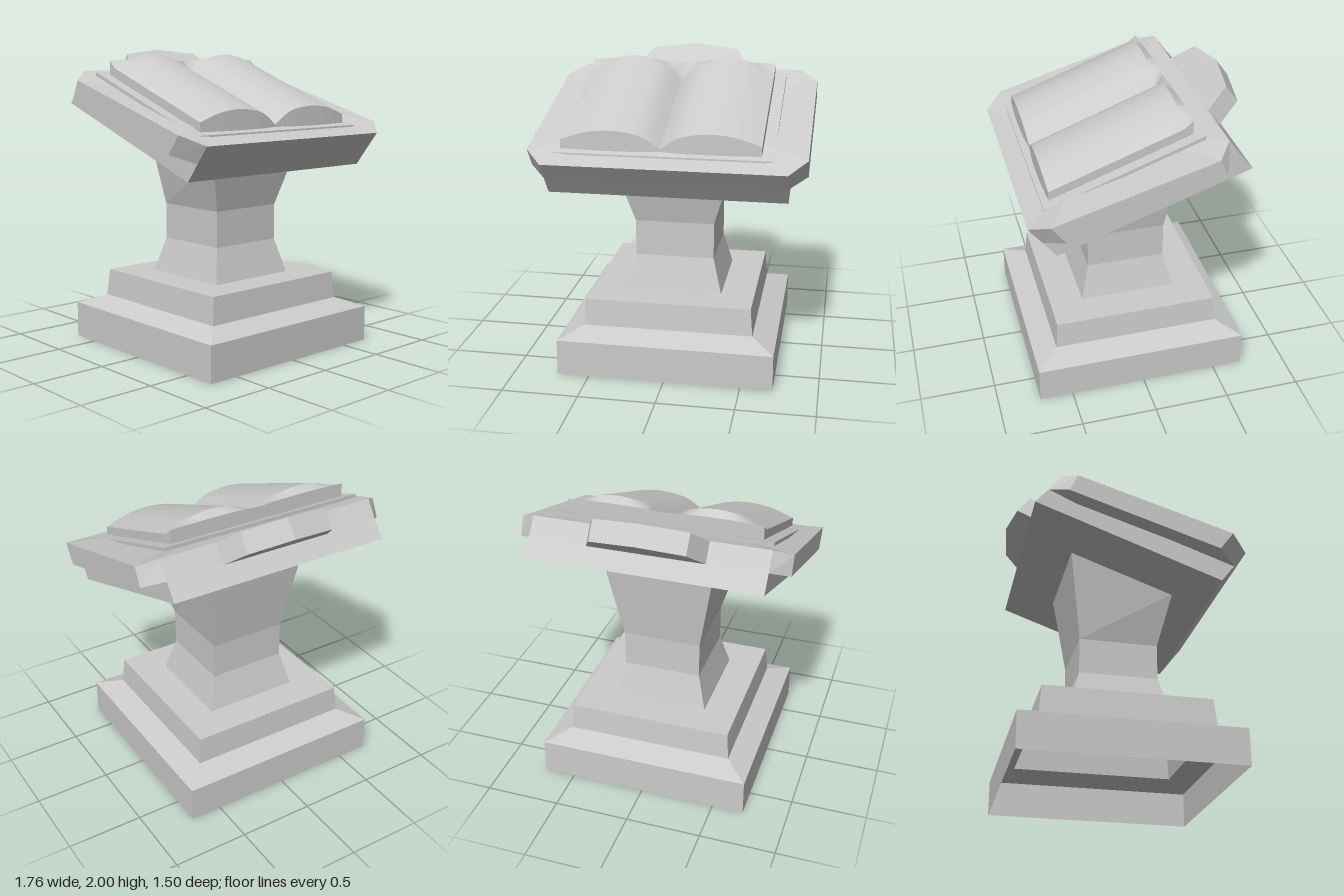
import * as THREE from 'three';
import { toCreasedNormals } from 'three/addons/utils/BufferGeometryUtils.js';

const flat = new THREE.MeshStandardMaterial({ color: 0xcccccc, flatShading: true, side: THREE.DoubleSide });
const smooth = new THREE.MeshStandardMaterial({ color: 0xcccccc, side: THREE.DoubleSide });

// Full ring from its +x half, listed front to back
const mirror = (half) => [...half, ...half.filter((p) => p[0] > 0).reverse().map(([x, y, z]) => [-x, y, z])];

// Four-cornered ring, its front and back edges at their own heights
const rect = (x0, x1, zf, yf, zb, yb = yf) => [[x1, yf, zf], [x1, yb, zb], [x0, yb, zb], [x0, yf, zf]];

// Skin over rings stacked from bottom to top, with optional caps
function loft(rings, capBottom = true, capTop = true) {
  const pos = [];
  const n = rings[0].length;
  const tri = (...pts) => pts.forEach((p) => pos.push(...p));
  for (let k = 0; k < rings.length - 1; k++) {
    for (let i = 0; i < n; i++) {
      const j = (i + 1) % n, lo = rings[k], hi = rings[k + 1];
      tri(lo[i], lo[j], hi[j]);
      tri(lo[i], hi[j], hi[i]);
    }
  }
  const cap = (ring, up) => {
    const c = [0, 1, 2].map((a) => ring.reduce((s, p) => s + p[a], 0) / n);
    ring.forEach((p, i) => {
      const q = ring[(i + 1) % n];
      if (up) tri(c, p, q);
      else tri(c, q, p);
    });
  };
  if (capBottom) cap(rings[0], false);
  if (capTop) cap(rings[rings.length - 1], true);
  const g = new THREE.BufferGeometry();
  g.setAttribute('position', new THREE.Float32BufferAttribute(pos, 3));
  g.computeVertexNormals();
  return g;
}

// Open book: a page cross-section swept up the slope, with walls all round
function pagesGeometry() {
  const section = new THREE.SplineCurve(
    [[0, 0], [0.1, 0.09], [0.19, 0.128], [0.33, 0.145], [0.48, 0.122], [0.635, 0.055]]
      .map(([u, h]) => new THREE.Vector2(u, h)));
  const half = section.getPoints(24);
  const cols = [
    ...half.slice(1).reverse().map((p) => [-p.x, p.y]),
    ...half.map((p) => [p.x, p.y]),
  ];
  const mid = -0.04, zFront = 0.59, zBack = -0.26, zLip = -0.315;
  const base = (z) => 1.49 + (zFront - z) * 0.388;
  const rows = [];
  const addRow = (z, height, bulge = 0) => {
    const row = cols.map(([u, h]) => [mid + u, height(h), z + bulge * (h - 0.1)]);
    const foot = base(z) - 0.01;
    rows.push([[row[0][0], foot, z], ...row, [row[row.length - 1][0], foot, z]]);
  };
  addRow(zFront, () => base(zFront) - 0.01, 0.1);
  const steps = 14;
  for (let i = 0; i <= steps; i++) {
    const t = i / steps, z = zFront + (zBack - zFront) * t;
    const shallow = 0.035 * (1 - t);
    addRow(z, (h) => base(z) + shallow + h * (1 - shallow / 0.145), 0.1 * (1 - t));
  }
  addRow(zLip, (h) => 1.92 + h * 0.08);
  addRow(zLip, () => base(zLip) - 0.01);

  const n = rows[0].length, index = [];
  for (let r = 0; r < rows.length - 1; r++) {
    for (let c = 0; c < n - 1; c++) {
      const a = r * n + c, d = a + n;
      index.push(a, a + 1, d, a + 1, d + 1, d);
    }
  }
  const g = new THREE.BufferGeometry();
  g.setAttribute('position', new THREE.Float32BufferAttribute(rows.flat(2), 3));
  g.setIndex(index);
  return toCreasedNormals(g, 0.7);
}

export function createModel() {
  const model = new THREE.Group();
  const add = (name, geometry, material = flat) => {
    const mesh = new THREE.Mesh(geometry, material);
    mesh.name = name;
    model.add(mesh);
  };

  // Stepped foot and waisted column, hollow and open below
  const zc = 0.011;
  const rings = [[0.71, 0], [0.71, 0.24], [0.56, 0.3], [0.545, 0.48], [0.323, 0.48], [0.263, 0.71], [0.263, 0.95]]
    .map(([h, y]) => rect(-h, h, zc + h, y, zc - h));
  rings.push(rect(-0.372, 0.372, 0.36, 1.3, -0.336, 1.54));
  add('pedestal', loft(rings, false, false));

  // Sloping desk: lower slab
  add('deskSlab', loft([
    rect(-0.765, 0.765, 0.578, 1.215, -0.645, 1.64),
    rect(-0.765, 0.765, 0.665, 1.33, -0.56, 1.745),
  ]));

  // Wider desk top with cut corners
  const top = mirror([[0.765, 1.44, 0.75], [0.88, 1.505, 0.63], [0.88, 1.8, -0.39], [0.765, 1.858, -0.48]]);
  const under = mirror([[0.765, 1.33, 0.665], [0.88, 1.382, 0.54], [0.88, 1.682, -0.445], [0.765, 1.745, -0.56]]);
  add('deskTop', loft([under, top]));

  // Raised crest on the back edge
  const crest = mirror([[0.383, 1.857, -0.48], [0.305, 1.968, -0.622], [0, 2, -0.665]]);
  add('crest', loft([crest.map(([x, y, z]) => [x, y - 0.113, z - 0.082]), crest]));

  // Book lying open on the desk
  add('bookCover', loft([
    rect(-0.75, 0.67, 0.63, 1.472, -0.37, 1.828),
    rect(-0.75, 0.67, 0.63, 1.492, -0.37, 1.853),
  ]));
  add('bookPages', pagesGeometry(), smooth);

  return model;
}
